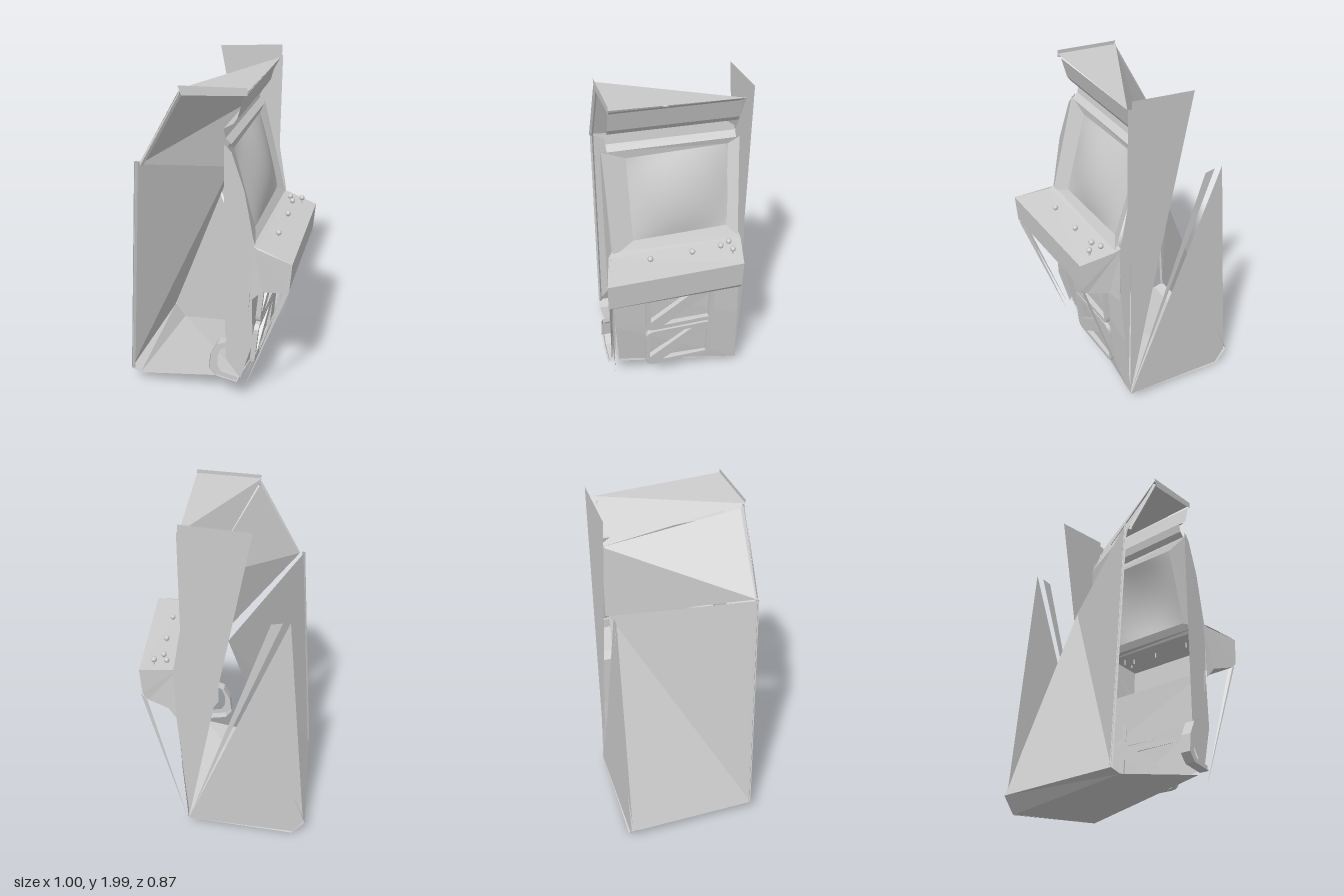
import * as THREE from 'three';

const mat = new THREE.MeshStandardMaterial({ color: 0xcccccc, side: THREE.DoubleSide, flatShading: true });
const smooth = new THREE.MeshStandardMaterial({ color: 0xcccccc, side: THREE.DoubleSide });

export function createModel() {
  const root = new THREE.Group();
  root.name = 'arcadeCabinet';

  const add = (name, geo, m = mat) => {
    const mesh = new THREE.Mesh(geo, m);
    mesh.name = name;
    root.add(mesh);
    return mesh;
  };
  // Flat polygon as a triangle fan
  const panel = (name, pts) => {
    const v = [];
    for (let i = 1; i < pts.length - 1; i++) v.push(...pts[0], ...pts[i], ...pts[i + 1]);
    const g = new THREE.BufferGeometry();
    g.setAttribute('position', new THREE.Float32BufferAttribute(v, 3));
    g.computeVertexNormals();
    return add(name, g);
  };
  // Row of quads between two edge lines
  const skin = (name, a, b) => {
    for (let i = 0; i < a.length - 1; i++) panel(name, [a[i], a[i + 1], b[i + 1], b[i]]);
  };
  const atZ = (pts, z) => pts.map(([x, y]) => [x, y, z]);

  // Shell: tilted underside, and a back that twists inward at its far top corner
  const nearEdge = [[0.2, 0.22, 0.33], [-0.44, 0.09, 0.32], [-0.5, 0.11, 0.315], [-0.4, 1.52, 0.32]];
  const farEdge = [[0.22, 0.07, -0.43], [-0.41, 0.01, -0.44], [-0.48, 0.1, -0.44]];
  skin('shell', nearEdge.slice(0, 3), farEdge);
  panel('back', [nearEdge[2], nearEdge[3], [-0.02, 1.34, -0.39], farEdge[2]]);

  // Rear slope and roof, twisted the same way
  panel('rearSlope', [[-0.37, 1.51, 0.32], [-0.14, 1.93, 0.33], [0.1, 1.7, -0.38], [0.11, 1.25, -0.38]]);
  panel('roof', [[-0.14, 1.95, 0.33], [0.22, 1.97, 0.33], [0.22, 1.94, -0.38], [0.1, 1.7, -0.38]]);
  panel('roofSideLip', atZ([[-0.14, 1.97], [0.22, 1.99], [0.22, 1.95], [-0.12, 1.92]], 0.33));

  // Far side: two triangular panels with an open wedge between
  panel('farSideFront', atZ([[-0.14, 1.97], [0.22, 2], [0.22, 0.07]], -0.42));
  panel('farSideRear', atZ([[-0.47, 0.1], [-0.41, 0.01], [0.22, 0.07], [-0.34, 1.49]], -0.43));
  panel('farSideStrip', atZ([[-0.3, 1.48], [-0.24, 1.47], [0.21, 0.09]], -0.42));

  // Edge trim along the near rear corner
  const trim = (name, pts, r) => {
    for (let i = 0; i < pts.length - 1; i++) {
      const path = new THREE.LineCurve3(new THREE.Vector3(...pts[i]), new THREE.Vector3(...pts[i + 1]));
      add(name, new THREE.TubeGeometry(path, 1, r, 4));
    }
  };
  trim('nearTrim', nearEdge.slice(2).map(([x, y, z]) => [x + 0.01, y, z - 0.008]), 0.01);
  trim('slopeTrim', [[-0.36, 1.51, 0.32], [-0.13, 1.93, 0.32]], 0.012);

  // Marquee and the recess under it
  const marquee = [[0.22, 1.96], [0.2, 1.94], [0.17, 1.83], [0.15, 1.8], [0.1, 1.77], [0.11, 1.72], [0.14, 1.69]];
  skin('marquee', atZ(marquee, 0.33), marquee.map(([x, y]) => [x, y - 0.02, -0.37]));

  // Monitor surround: a frame of quads on a leaning plane
  const onFace = (z, y, lift = 0) => [0.13 + (1.69 - y) * 0.27 + lift, y, z];
  const outer = [onFace(0.36, 1.69), onFace(-0.39, 1.67), onFace(-0.36, 1.12), onFace(0.35, 1.12)];
  const inner = [onFace(0.23, 1.63, -0.02), onFace(-0.33, 1.63, -0.02), onFace(-0.3, 1.18, -0.02), onFace(0.23, 1.18, -0.02)];
  skin('monitorSurround', [...outer, outer[0]], [...inner, inner[0]]);

  // Bulging screen
  const screen = new THREE.PlaneGeometry(2, 2, 10, 10);
  const p = screen.attributes.position;
  for (let i = 0; i < p.count; i++) {
    const u = p.getX(i), v = p.getY(i);
    const bulge = 0.045 * (1 - u * u) * (1 - v * v) - 0.02;
    p.setXYZ(i, ...onFace(-0.045 - u * 0.275, 1.405 + v * 0.225, bulge));
  }
  screen.computeVertexNormals();
  add('screen', screen, smooth);

  // Control panel: top, front face, curved underside and end caps
  const deskA = [[0.27, 1.14, 0.36], [0.3, 1.13, 0.38], [0.5, 1.1, 0.43], [0.49, 0.94, 0.43], [0.46, 0.91, 0.42], [0.33, 0.87, 0.38], [0.27, 0.8, 0.37]];
  const deskB = [[0.25, 1.13, -0.37], [0.3, 1.12, -0.37], [0.48, 1.08, -0.33], [0.47, 0.92, -0.33], [0.44, 0.88, -0.33], [0.32, 0.85, -0.36], [0.27, 0.79, -0.38]];
  skin('controlPanel', deskA, deskB);
  panel('controlPanelEnd', deskA);
  panel('controlPanelEnd', deskB);

  // Buttons and stick tops
  [[0.33, -0.29], [0.4, -0.29], [0.355, -0.235], [0.365, -0.07], [0.365, 0.165]].forEach(([x, z]) => {
    const ball = add('button', new THREE.SphereGeometry(0.016, 10, 8), smooth);
    ball.position.set(x, 1.13, z);
    const stem = add('buttonStem', new THREE.CylinderGeometry(0.005, 0.005, 0.05, 6), smooth);
    stem.position.set(x, 1.105, z);
  });

  // Lower front, with a slanting bottom edge
  const frontNear = [[0.26, 0.84, 0.37], [0.24, 0.55, 0.35], [0.2, 0.24, 0.33]];
  const frontFar = [[0.26, 0.83, -0.39], [0.25, 0.49, -0.41], [0.22, 0.07, -0.43]];
  skin('lowerFront', frontNear, frontFar);

  // Two coin doors: rounded frames with triangular openings
  const door = new THREE.Shape();
  const w = 0.205, h = 0.15, r = 0.05;
  door.moveTo(-w + r, -h);
  door.lineTo(w - r, -h).quadraticCurveTo(w, -h, w, -h + r);
  door.lineTo(w, h - r).quadraticCurveTo(w, h, w - r, h);
  door.lineTo(-w + r, h).quadraticCurveTo(-w, h, -w, h - r);
  door.lineTo(-w, -h + r).quadraticCurveTo(-w, -h, -w + r, -h);
  const hole = (pts) => door.holes.push(new THREE.Path(pts.map(([x, y]) => new THREE.Vector2(x, y))));
  hole([[-0.18, -0.08], [-0.18, 0.12], [0.08, 0.12]]);
  hole([[-0.1, -0.12], [0.18, -0.12], [0.18, 0.09]]);
  const doorGeo = new THREE.ExtrudeGeometry(door, { depth: 0.03, bevelEnabled: false, curveSegments: 4 });
  doorGeo.rotateY(Math.PI / 2);
  [[0.255, 0.65], [0.225, 0.33]].forEach(([x, y]) => {
    const d = add('coinDoor', doorGeo);
    d.position.set(x, y, -0.035);
    d.rotation.z = -0.08;
  });

  // Front edges of the side panels
  panel('nearFrontSide', atZ([[0.11, 1.25], [0.11, 1.7], [0.15, 1.66], [0.22, 1.45], [0.28, 1.13], [0.27, 0.8], [0.28, 0.5], [0.21, 0.23], [0.12, 0.36]], 0.36));
  panel('farFrontSide', atZ([[0.22, 0.07], [0.2, 1.95], [0.23, 1.95], [0.23, 1.4], [0.28, 1.12], [0.27, 0.79]], -0.4));

  // Hooked band at the near lower corner
  const hook = [[0.13, 0.5], [0.08, 0.48], [0.04, 0.4], [0.03, 0.3], [0.07, 0.25], [0.2, 0.23]];
  const hookInner = [[0.13, 0.46], [0.1, 0.44], [0.08, 0.39], [0.08, 0.32], [0.1, 0.28], [0.2, 0.26]];
  skin('cornerBracket', atZ(hook, 0.4), atZ(hook, 0.34));
  skin('cornerBracketFace', atZ(hook, 0.39), atZ(hookInner, 0.39));

  // Thin slanted braces from the control panel ends to the base
  panel('nearBrace', [[0.49, 0.93, 0.42], [0.46, 0.91, 0.41], [0.23, 0.15, 0.36]]);
  panel('nearBrace', [[0.47, 0.92, 0.42], [0.45, 0.9, 0.4], [0.22, 0.2, 0.38]]);
  panel('farBrace', [[0.48, 0.92, -0.33], [0.45, 0.88, -0.32], [0.23, 0.07, -0.42]]);

  return root;
}
